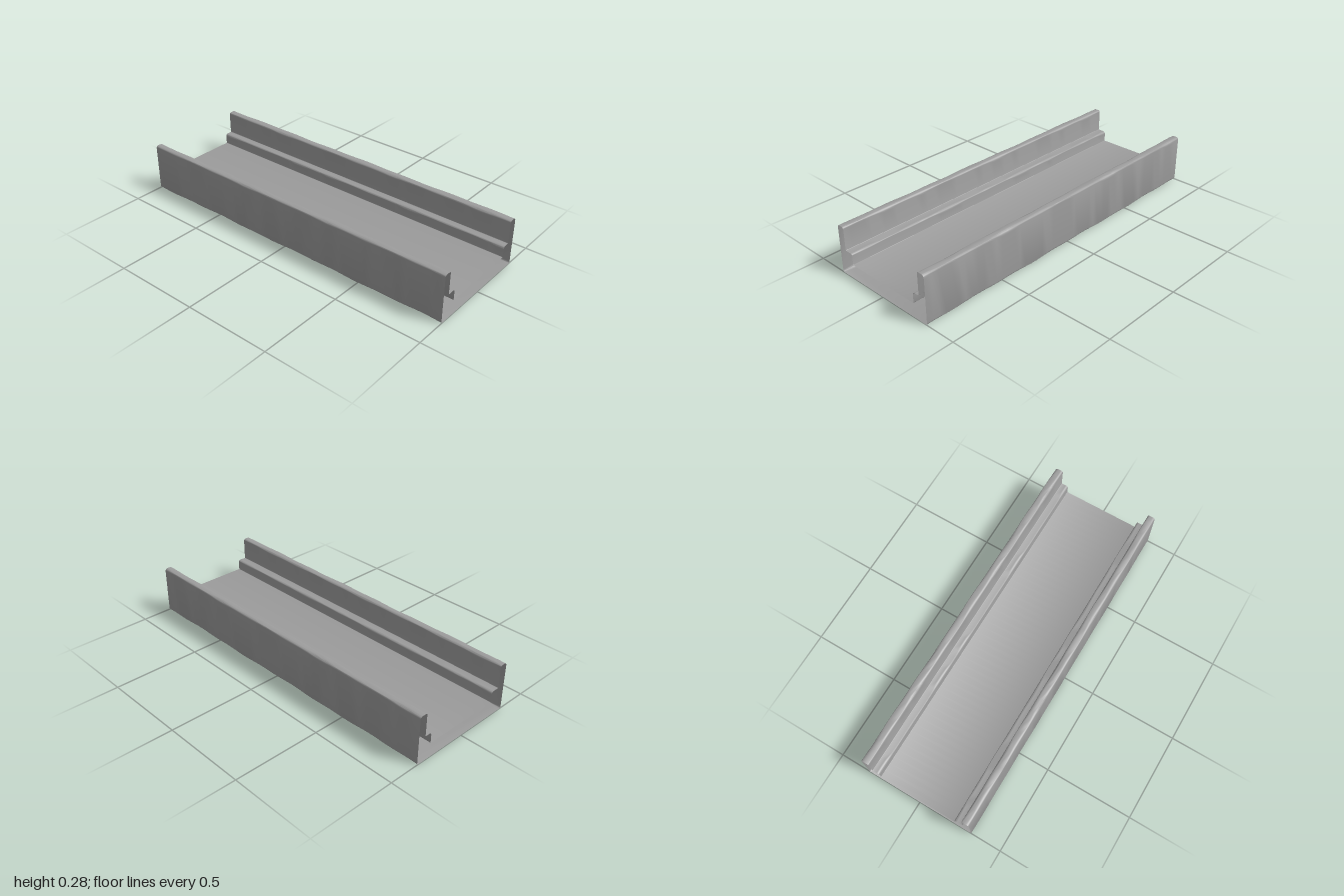
import * as THREE from 'three';
import { toCreasedNormals } from 'three/addons/utils/BufferGeometryUtils.js';

const SLICES = 48;

// Corners of the U section: [x, y, least radius, extra radius where worn]
const top = 0.278, ledge = 0.145, floor = 0.082;
const corners = [
  [-0.323, 0, 0.004, 0.016], [0.323, 0, 0.004, 0.016],
  [0.323, top, 0.008, 0.013], [0.277, top, 0.008, 0.013],
  [0.277, ledge, 0.004, 0], [0.235, ledge, 0.008, 0.01],
  [0.235, floor, 0.003, 0], [-0.228, floor, 0.003, 0],
  [-0.228, ledge, 0.008, 0.01], [-0.279, ledge, 0.004, 0],
  [-0.279, top, 0.008, 0.013], [-0.323, top, 0.008, 0.013],
];

// Uneven wear along an edge, from 0 to 1
function wear(z, edge) {
  const s = Math.sin(z * 9 + edge * 2.1) + Math.sin(z * 23 + edge * 4.7);
  return (s + 2) / 4;
}

// Closed outline at z with every corner rounded off
function outlineAt(z) {
  const path = new THREE.Path();
  const n = corners.length;
  corners.forEach(([x, y, least, extra], i) => {
    const here = new THREE.Vector2(x, y);
    const r = least + extra * wear(z, i);
    const toward = (j) => {
      const c = corners[(j + n) % n];
      return new THREE.Vector2(c[0], c[1]).sub(here).setLength(r).add(here);
    };
    const start = toward(i - 1), end = toward(i + 1);
    if (i === 0) path.moveTo(start.x, start.y);
    else path.lineTo(start.x, start.y);
    path.quadraticCurveTo(x, y, end.x, end.y);
  });
  path.closePath();
  return path.getPoints(5).map((p) => [p.x, p.y, z]);
}

// Skin the outlines along z, leaving both ends open
function openShell() {
  const positions = [];
  let back = outlineAt(-1);
  for (let s = 1; s <= SLICES; s++) {
    const front = outlineAt(-1 + (2 * s) / SLICES);
    for (let i = 0; i < back.length - 1; i++) {
      positions.push(
        ...back[i], ...back[i + 1], ...front[i + 1],
        ...back[i], ...front[i + 1], ...front[i]);
    }
    back = front;
  }
  const geometry = new THREE.BufferGeometry();
  geometry.setAttribute('position', new THREE.Float32BufferAttribute(positions, 3));
  return toCreasedNormals(geometry, 0.6);
}

export function createModel() {
  const group = new THREE.Group();
  group.name = 'channel';

  // Hollow channel: side walls, a ledge inside each wall and a raised floor
  const shell = new THREE.Mesh(
    openShell(),
    new THREE.MeshStandardMaterial({ color: 0x9d9d9d, side: THREE.DoubleSide }));
  shell.name = 'channelShell';
  group.add(shell);
  return group;
}
